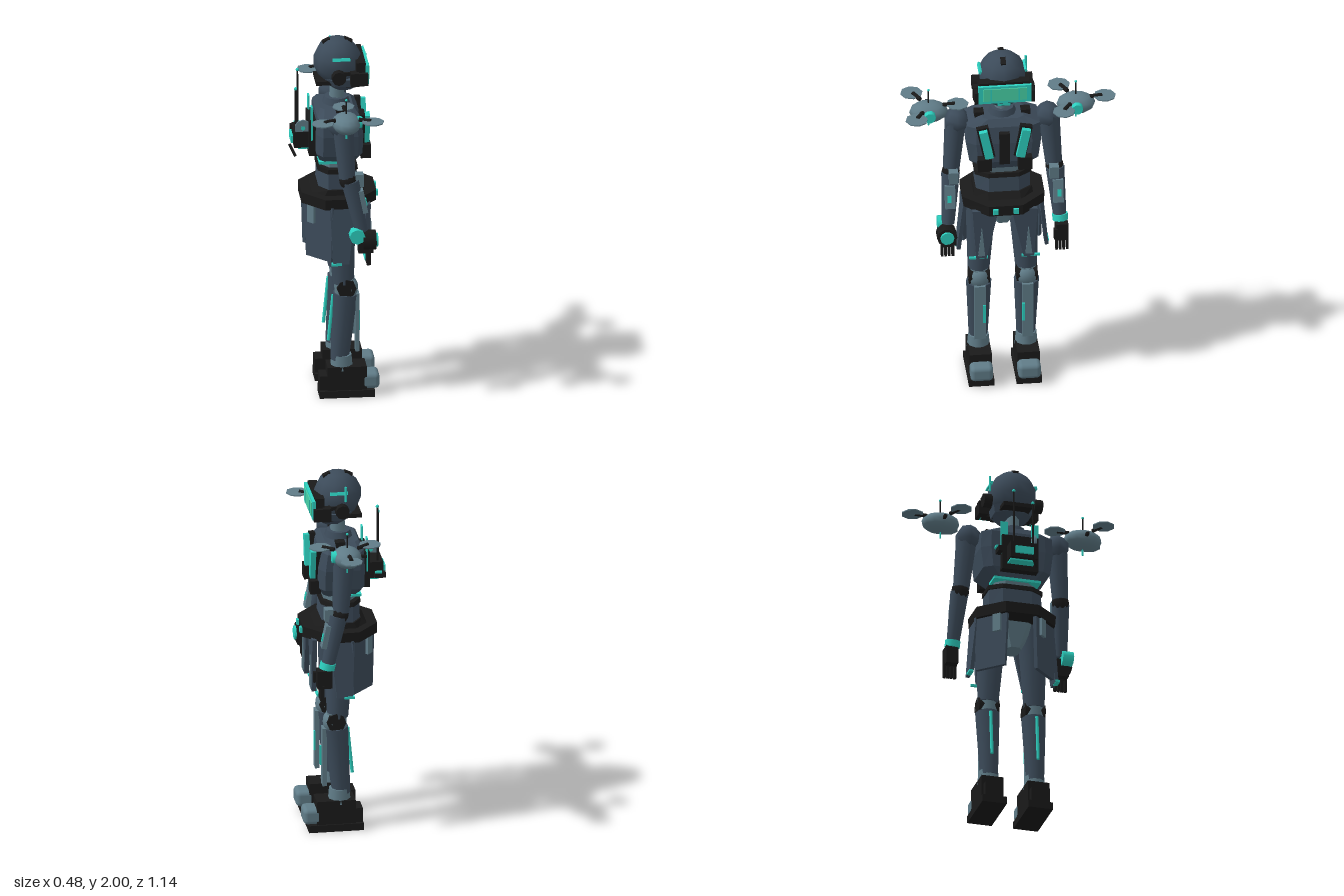
import * as THREE from 'three';
import { RoundedBoxGeometry } from 'three/addons/geometries/RoundedBoxGeometry.js';

const mat = (name, color) => {
  const m = new THREE.MeshStandardMaterial({ color });
  m.name = name;
  return m;
};

export function createModel() {
  const slate = mat('slate armour', 0x3c4b5a);
  const steel = mat('light steel', 0x607c88);
  const black = mat('black rubber', 0x1a1a1a);
  const teal = mat('teal glow', 0x2dd0c0);
  const green = mat('green glass', 0x48d2a8);
  const root = new THREE.Group();
  root.name = 'robot';
  // The body faces +x; its middle plane sits slightly off centre
  const body = new THREE.Group();
  body.name = 'body';
  body.position.z = 0.037;
  root.add(body);

  const add = (name, geo, m, pos = [0, 0, 0], rot = [0, 0, 0], parent = body) => {
    const mesh = new THREE.Mesh(geo, m);
    mesh.name = name;
    mesh.position.set(...pos);
    mesh.rotation.set(...rot);
    parent.add(mesh);
    return mesh;
  };
  const box = (name, m, size, pos, rot, parent) => add(name, new THREE.BoxGeometry(...size), m, pos, rot, parent);
  const ball = (name, m, r, pos, scale = [1, 1, 1], parent = body, seg = 12, rows = 8) => {
    const s = add(name, new THREE.SphereGeometry(r, seg, rows), m, pos, [0, 0, 0], parent);
    s.scale.set(...scale);
    return s;
  };
  // Tapered cylinder between two points
  const limb = (name, m, a, b, ra, rb, parent = body, seg = 8) => {
    const p = new THREE.Vector3(...a), d = new THREE.Vector3(...b).sub(p);
    const mesh = add(name, new THREE.CylinderGeometry(rb, ra, d.length(), seg), m, [0, 0, 0], [0, 0, 0], parent);
    mesh.position.copy(p).addScaledVector(d, 0.5);
    mesh.quaternion.setFromUnitVectors(new THREE.Vector3(0, 1, 0), d.normalize());
    return mesh;
  };
  // Chamfered octagonal sections [y, centre x, half x, half z], faceted
  const loft = (name, m, rings, k = 0.55) => {
    const oct = [[1, k], [k, 1], [-k, 1], [-1, k], [-1, -k], [-k, -1], [k, -1], [1, -k]];
    const pts = rings.map(([y, cx, hx, hz]) => oct.map(([u, v]) => [cx + u * hx, y, v * hz]));
    const out = [];
    const tri = (a, b, c) => out.push(...a, ...b, ...c);
    for (let r = 0; r < pts.length - 1; r++) {
      for (let i = 0; i < 8; i++) {
        const j = (i + 1) % 8, A = pts[r], B = pts[r + 1];
        tri(A[i], B[i], A[j]);
        tri(A[j], B[i], B[j]);
      }
    }
    const lo = pts[0], hi = pts[pts.length - 1];
    for (let i = 1; i < 7; i++) {
      tri(lo[0], lo[i], lo[i + 1]);
      tri(hi[0], hi[i + 1], hi[i]);
    }
    const g = new THREE.BufferGeometry();
    g.setAttribute('position', new THREE.Float32BufferAttribute(out, 3));
    g.computeVertexNormals();
    return add(name, g, m);
  };
  // Flat panel from an outline, thickness along its local z
  const panel = (name, m, outline, t, pos, rot) => {
    const g = new THREE.ExtrudeGeometry(new THREE.Shape(outline.map(p => new THREE.Vector2(...p))), { depth: t, bevelEnabled: false });
    g.translate(0, 0, -t / 2);
    return add(name, g, m, pos, rot);
  };
  const axisX = [0, 0, -Math.PI / 2], axisZ = [Math.PI / 2, 0, 0];

  // Head, visor and neck
  ball('helmet', slate, 0.13, [0.025, 1.87, 0], [1, 1, 1], body, 10, 7);
  loft('jaw', slate, [[1.715, 0.06, 0.05, 0.055], [1.75, 0.05, 0.08, 0.1], [1.79, 0.04, 0.09, 0.11]]);
  box('chinGuard', black, [0.06, 0.04, 0.19], [0.09, 1.765, 0]);
  box('napeBand', black, [0.13, 0.022, 0.16], [-0.03, 1.765, 0]);
  box('chinLight', teal, [0.02, 0.018, 0.07], [0.115, 1.735, 0]);
  box('visorHousing', black, [0.05, 0.125, 0.27], [0.14, 1.835, 0]);
  box('visorFrame', teal, [0.018, 0.105, 0.285], [0.172, 1.832, 0]);
  box('visorGlass', green, [0.012, 0.075, 0.235], [0.18, 1.834, 0]);
  for (const s of [-1, 1]) {
    box('visorClamp', black, [0.045, 0.075, 0.05], [0.105, 1.81, s * 0.14]);
    box('visorSide', black, [0.055, 0.07, 0.02], [0.148, 1.81, s * 0.152]);
    add('earPiece', new THREE.CylinderGeometry(0.038, 0.038, 0.045, 10), black, [0.02, 1.82, s * 0.14], axisZ);
    box('visorStrap', black, [0.12, 0.02, 0.012], [0.075, 1.835, s * 0.128]);
    box('templeLight', teal, [0.095, 0.018, 0.012], [0.035, 1.915, s * 0.122], [-s * 0.35, 0, 0]);
    box('visorBar', teal, [0.004, 0.075, 0.006], [0.187, 1.834, s * 0.075]);
    box('crestPad', black, [0.045, 0.02, 0.028], [0.025 + s * 0.058, 1.98, 0], [0, 0, -s * 0.45]);
  }
  limb('headAntenna', teal, [0.0, 1.87, -0.13], [0.0, 1.955, -0.13], 0.006, 0.006);
  limb('neck', steel, [0.02, 1.58, 0], [0.025, 1.74, 0], 0.045, 0.038, body, 10);
  limb('collar', slate, [0.02, 1.6, 0], [0.02, 1.665, 0], 0.085, 0.065, body, 10);

  // Torso and waist
  loft('chest', slate, [[1.325, 0.02, 0.095, 0.115], [1.385, 0.025, 0.125, 0.185], [1.5, 0.025, 0.125, 0.2],
    [1.595, 0.02, 0.115, 0.195], [1.63, 0.015, 0.09, 0.11]], 0.75);
  loft('abdomen', steel, [[1.26, 0.02, 0.085, 0.115], [1.38, 0.025, 0.1, 0.11]]);
  loft('waist', slate, [[1.16, 0.02, 0.105, 0.145], [1.28, 0.02, 0.1, 0.145]]);
  loft('waistRim', black, [[1.27, 0.02, 0.108, 0.152], [1.295, 0.02, 0.105, 0.15]]);
  loft('lowerBelt', black, [[1.14, 0.02, 0.15, 0.16], [1.18, 0.02, 0.11, 0.155]]);
  loft('belt', black, [[1.09, 0.025, 0.2, 0.215], [1.15, 0.025, 0.2, 0.22]], 0.42);
  box('sternumPlate', black, [0.035, 0.19, 0.055], [0.15, 1.475, 0]);
  box('backRimLight', teal, [0.1, 0.014, 0.26], [-0.035, 1.328, 0]);
  loft('pelvis', steel, [[0.95, 0.02, 0.06, 0.04], [1.1, 0.02, 0.09, 0.12]]);
  for (const s of [-1, 1]) {
    box('chestLight', teal, [0.032, 0.17, 0.046], [0.172, 1.515, s * 0.1], [s * 0.2, 0, 0]);
    box('chestLightBack', black, [0.03, 0.19, 0.065], [0.145, 1.515, s * 0.1], [s * 0.2, 0, 0]);
    box('chestPouch', black, [0.055, 0.075, 0.075], [0.165, 1.392, s * 0.108]);
    box('shoulderClip', black, [0.05, 0.03, 0.05], [0.03, 1.63, s * 0.125]);
    box('buckle', teal, [0.02, 0.03, 0.028], [0.228, 1.12, s * 0.055]);
  }

  // Armoured skirt panels set around the octagonal belt
  for (const s of [-1, 1]) {
    panel('sideSkirt', slate, [[-0.035, 1.1], [0.1, 1.1], [0.065, 0.79], [-0.02, 0.79]], 0.02,
      [0, 0, s * 0.315], [-s * 0.1, 0, 0]);
    panel('rearSkirt', slate, [[-0.1, 1.1], [0.1, 1.1], [0.09, 0.79], [-0.085, 0.79]], 0.02,
      [-0.085, 0, s * 0.145], [0, -s * 0.8, 0]);
    panel('frontTasset', slate, [[-s * 0.035, 1.1], [-s * 0.175, 1.1], [-s * 0.155, 0.8], [-s * 0.1, 0.8]], 0.025,
      [0.175, 0, 0], [0, Math.PI / 2, 0]);
    panel('tassetInlay', steel, [[-s * 0.125, 1.0], [-s * 0.145, 0.82], [-s * 0.108, 0.82]], 0.008,
      [0.191, 0, 0], [0, Math.PI / 2, 0]);
    box('skirtTrim', teal, [0.055, 0.012, 0.024], [-0.002, 0.788, s * 0.24]);
    box('tassetTrim', teal, [0.012, 0.012, 0.1], [0.16, 0.79, s * 0.14]);
    box('hipBox', steel, [0.045, 0.1, 0.02], [-0.125, 1.04, s * 0.125], [0, -s * 0.8, 0]);
  }

  // Legs
  for (const s of [-1, 1]) {
    const z = s * 0.128;
    limb('thigh', slate, [0.045, 0.64, z], [0.03, 1.1, s * 0.112], 0.058, 0.085, body, 10);
    limb('kneeSleeve', steel, [0.05, 0.55, z], [0.05, 0.665, z], 0.053, 0.056, body, 10);
    add('kneeJoint', new THREE.CylinderGeometry(0.052, 0.052, 0.112, 8), black, [0.058, 0.62, z], axisZ);
    ball('kneeCap', steel, 0.057, [0.082, 0.612, z], [0.75, 1, 1]);
    limb('shin', slate, [0.025, 0.2, z], [0.055, 0.58, z], 0.05, 0.068, body, 10);
    box('shinGuard', steel, [0.022, 0.33, 0.06], [0.118, 0.415, z]);
    box('shinLight', teal, [0.008, 0.11, 0.016], [0.132, 0.41, s * 0.105]);
    limb('calfPiston', teal, [-0.035, 0.31, z], [-0.01, 0.57, z], 0.009, 0.009);
    limb('ankle', steel, [0.035, 0.15, z], [0.035, 0.23, z], 0.062, 0.055, body, 10);
    box('boot', black, [0.21, 0.135, 0.12], [0.06, 0.105, z]);
    box('heel', black, [0.05, 0.08, 0.1], [-0.06, 0.08, z]);
    box('sole', black, [0.295, 0.04, 0.136], [0.06, 0.02, z]);
    add('toeCap', new RoundedBoxGeometry(0.1, 0.088, 0.122, 3, 0.024), steel, [0.185, 0.085, z]);
  }

  // Arms
  for (const s of [-1, 1]) {
    ball('shoulderPad', slate, 0.078, [0.025, 1.59, s * 0.245], [1, 0.9, 0.9], body, 6, 5);
    limb('upperArm', slate, [0.05, 1.3, s * 0.275], [0.03, 1.6, s * 0.25], 0.045, 0.058, body, 10);
    ball('elbow', black, 0.053, [0.055, 1.285, s * 0.278], [0.9, 1, 0.92], body, 8);
    limb('forearm', slate, [0.125, 1.0, s * 0.3], [0.065, 1.28, s * 0.28], 0.035, 0.05, body, 10);
    box('forearmPlate', steel, [0.03, 0.13, 0.055], [0.132, 1.17, s * 0.29], [0, 0, 0.2]);
    box('elbowBox', steel, [0.045, 0.07, 0.05], [0.115, 1.285, s * 0.27]);
    box('forearmLight', teal, [0.008, 0.04, 0.02], [0.15, 1.165, s * 0.295], [0, 0, 0.2]);
    box('palm', black, [0.08, 0.1, 0.065], [0.145, 0.935, s * 0.307]);
    for (let i = 0; i < 4; i++) box('finger', black, [0.022, 0.085, 0.014], [0.16, 0.86, s * 0.307 + (i - 1.5) * 0.019]);
    box('thumb', black, [0.025, 0.06, 0.018], [0.185, 0.93, s * 0.27]);
  }
  limb('wristBand', teal, [0.13, 0.985, -0.302], [0.122, 1.02, -0.3], 0.042, 0.042, body, 10);
  // Emitter on the left hand
  add('emitterRim', new THREE.CylinderGeometry(0.054, 0.054, 0.07, 10), black, [0.165, 0.952, 0.312], axisX);
  add('emitterLens', new THREE.CylinderGeometry(0.037, 0.038, 0.012, 10), teal, [0.205, 0.952, 0.312], axisX);
  add('armGem', new THREE.CylinderGeometry(0.042, 0.042, 0.06, 8), teal, [0.098, 0.985, 0.325], axisZ);

  // Backpack with antennas and dish
  box('backPlate', black, [0.05, 0.2, 0.2], [-0.11, 1.46, 0]);
  box('pack', black, [0.085, 0.09, 0.15], [-0.17, 1.445, 0]);
  box('packBaseLight', teal, [0.012, 0.04, 0.1], [-0.222, 1.44, 0]);
  box('packTray', teal, [0.1, 0.012, 0.14], [-0.14, 1.397, 0]);
  add('dish', new THREE.CylinderGeometry(0.045, 0.045, 0.012, 10), steel, [-0.165, 1.51, 0.065], axisZ);
  add('dishHub', new THREE.CylinderGeometry(0.012, 0.012, 0.018, 8), teal, [-0.165, 1.51, 0.065], axisZ);
  for (const [x, z, top] of [[-0.183, -0.05, 1.8], [-0.203, 0.05, 1.73]]) {
    limb('antenna', black, [x, 1.45, z], [x, top, z], 0.006, 0.005);
    ball('antennaTip', teal, 0.009, [x, top, z]);
  }
  limb('packProbe', black, [-0.205, 1.35, 0.07], [-0.235, 1.41, 0.04], 0.008, 0.008);
  for (const s of [-1, 1]) box('backLight', teal, [0.009, 0.19, 0.04], [-0.12, 1.545, s * 0.085]);
  box('sideProbe', black, [0.06, 0.03, 0.025], [-0.185, 1.44, -0.13]);
  box('sideProbeLight', teal, [0.035, 0.012, 0.012], [-0.175, 1.46, -0.145]);

  // A three-rotor drone above each shoulder
  for (const s of [-1, 1]) {
    const drone = new THREE.Group();
    drone.name = s > 0 ? 'leftDrone' : 'rightDrone';
    drone.position.set(0.034, 1.66, s * 0.395);
    body.add(drone);
    ball('droneBody', steel, 0.1, [0, 0, 0], [0.77, 0.55, 1.04], drone);
    add('droneEye', new THREE.CylinderGeometry(0.03, 0.034, 0.025, 10), teal, [0.072, 0.005, 0], axisX, drone);
    box('droneTail', black, [0.05, 0.014, 0.016], [-0.08, 0.0, 0], [0, 0, 0], drone);
    limb('droneMast', black, [0, 0.045, 0], [0, 0.13, 0], 0.004, 0.004, drone);
    ball('mastTip', teal, 0.007, [0, 0.133, 0], [1, 1, 1], drone, 8);
    limb('droneProbe', teal, [0, -0.088, 0], [0, -0.045, 0], 0.005, 0.005, drone);
    for (let i = 0; i < 3; i++) {
      const a = Math.PI + i * Math.PI * 2 / 3, dx = Math.sin(a), dz = Math.cos(a);
      limb('rotorArm', black, [dx * 0.075, 0.034, dz * 0.075], [dx * 0.142, 0.038, dz * 0.142], 0.012, 0.012, drone, 6);
      add('rotor', new THREE.CylinderGeometry(0.06, 0.06, 0.006, 8), steel, [dx * 0.155, 0.034, dz * 0.155], [0, 0.1, 0], drone);
    }
  }
  return root;
}
